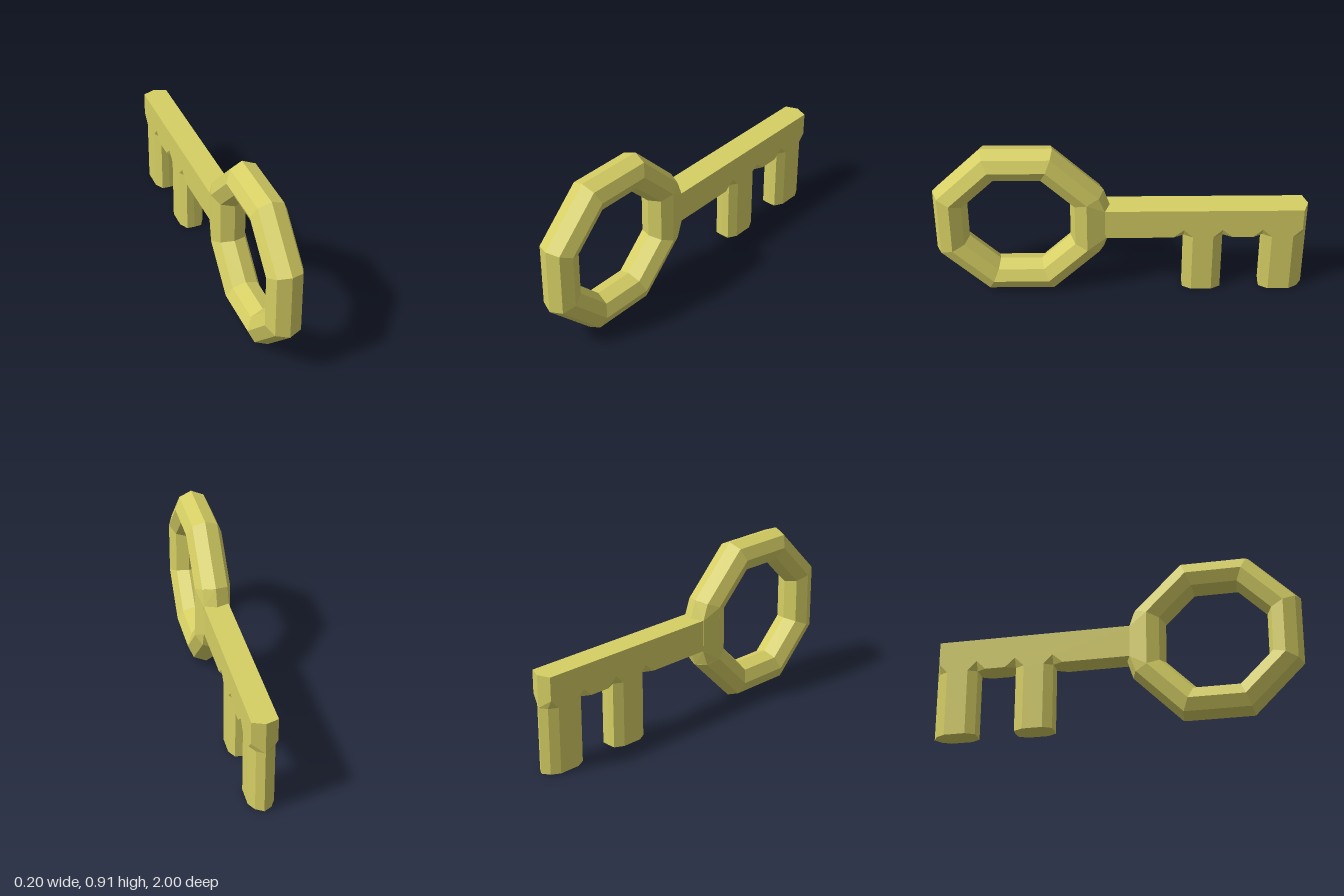
import * as THREE from 'three';
import { ConvexGeometry } from 'three/addons/geometries/ConvexGeometry.js';

const W = 0.068, INSET = 0.042;              // half width of shaft, half width at cut tooth corners
const LOW = 0.37, PEAK = 0.42, HIGH = 0.547; // shaft underside, notch tip, shaft top
const START = 0.12, SHOULDER = -0.972, TIP = -0.998, CUT = -0.925;
// Notches where the bevelled tooth corners bite into the shaft: [start, tip, end] in z
const NOTCHES = [[-0.28, -0.337, -0.385], [-0.495, -0.545, -0.60], [-0.71, -0.76, -0.81]];

const v = (x, y, z) => new THREE.Vector3(x, y, z);

// Adds a planar polygon, triangulated and turned to face the outward direction
function addFace(out, pts, outward) {
  const ax = ['x', 'y', 'z'].sort((a, b) => Math.abs(outward[b]) - Math.abs(outward[a]));
  const flat = pts.map(p => new THREE.Vector2(p[ax[1]], p[ax[2]]));
  for (const [i, j, k] of THREE.ShapeUtils.triangulateShape(flat, [])) {
    const [a, b, c] = [pts[i], pts[j], pts[k]];
    const n = b.clone().sub(a).cross(c.clone().sub(a));
    for (const p of n.dot(outward) > 0 ? [a, b, c] : [a, c, b]) out.push(p.x, p.y, p.z);
  }
}

function shaftGeometry() {
  const out = [];
  for (const s of [1, -1]) {
    const P = (x, y, z) => v(s * x, y, z);
    const side = [P(W, HIGH, START), P(W, LOW, START)];
    const under = [P(0, LOW, START), P(W, LOW, START)];
    for (const [a, tip, b] of NOTCHES) {
      side.push(P(W, LOW, a), P(W, PEAK, tip), P(W, LOW, b));
      under.push(P(W, LOW, a), P(INSET, LOW, tip), P(W, LOW, b));
      for (const e of [a, b]) {
        addFace(out, [P(W, LOW, e), P(W, PEAK, tip), P(INSET, LOW, tip)], v(s * 0.8, -1, 0));
      }
    }
    side.push(P(W, LOW, CUT), P(W, PEAK, SHOULDER), P(W, HIGH, SHOULDER));
    under.push(P(W, LOW, CUT), P(INSET, LOW, SHOULDER), P(0, LOW, TIP));
    addFace(out, side, v(s, 0, 0));
    addFace(out, under, v(0, -1, 0));
    addFace(out, [P(0, HIGH, START), P(W, HIGH, START), P(W, HIGH, SHOULDER), P(0, HIGH, TIP)], v(0, 1, 0));
    // Pointed end with its corner bevel
    addFace(out, [P(0, HIGH, TIP), P(W, HIGH, SHOULDER), P(W, PEAK, SHOULDER), P(0, LOW, TIP)], v(s * 0.37, 0, -1));
    addFace(out, [P(W, LOW, CUT), P(W, PEAK, SHOULDER), P(INSET, LOW, SHOULDER)], v(s * 0.8, -1, -0.1));
    addFace(out, [P(W, PEAK, SHOULDER), P(INSET, LOW, SHOULDER), P(0, LOW, TIP)], v(s * 0.3, -0.8, -0.6));
  }
  const g = new THREE.BufferGeometry();
  g.setAttribute('position', new THREE.Float32BufferAttribute(out, 3));
  g.computeVertexNormals();
  return g;
}

// Tooth: mirrored half outline [x, z], extruded downwards
function toothGeometry(half) {
  const outline = [...half, ...half.slice(1, -1).reverse().map(([x, z]) => [-x, z])];
  const shape = new THREE.Shape(outline.map(([x, z]) => new THREE.Vector2(x, z)));
  const g = new THREE.ExtrudeGeometry(shape, { depth: LOW - 0.006, bevelEnabled: false });
  return g.rotateX(Math.PI / 2).translate(0, LOW, 0);
}

export function createModel() {
  const group = new THREE.Group();
  group.name = 'key';
  const material = new THREE.MeshStandardMaterial({ color: 0xd6cf64, flatShading: true });
  const add = (name, geometry) => {
    const mesh = new THREE.Mesh(geometry, material);
    mesh.name = name;
    group.add(mesh);
  };

  // Octagonal ring handle
  const cy = 0.456, cz = 0.545;
  add('ringHandle', new THREE.TorusGeometry(0.393, 0.098, 8, 8)
    .rotateZ(Math.PI / 8).rotateY(Math.PI / 2).translate(0, cy, cz));

  // Collar swelling from the ring towards the shaft
  const collar = [];
  for (const s of [1, -1]) {
    collar.push(v(0, cy + s * 0.188, 0.092), v(0, cy + s * 0.0885, 0.06));
    for (const m of [1, -1]) {
      collar.push(v(m * 0.069, cy + s * 0.177, 0.118), v(m * 0.069, cy + s * 0.0885, 0.086),
        v(m * 0.098, cy + s * 0.15, 0.182));
    }
  }
  add('collar', new ConvexGeometry(collar));

  add('shaft', shaftGeometry());
  add('innerTooth', toothGeometry(
    [[0, -0.335], [INSET, -0.337], [W, -0.385], [W, -0.495], [INSET, -0.545], [0, -0.547]]));
  add('endTooth', toothGeometry(
    [[0, -0.758], [INSET, -0.76], [W, -0.81], [W, CUT], [INSET, SHOULDER], [0, TIP]]));
  return group;
}
